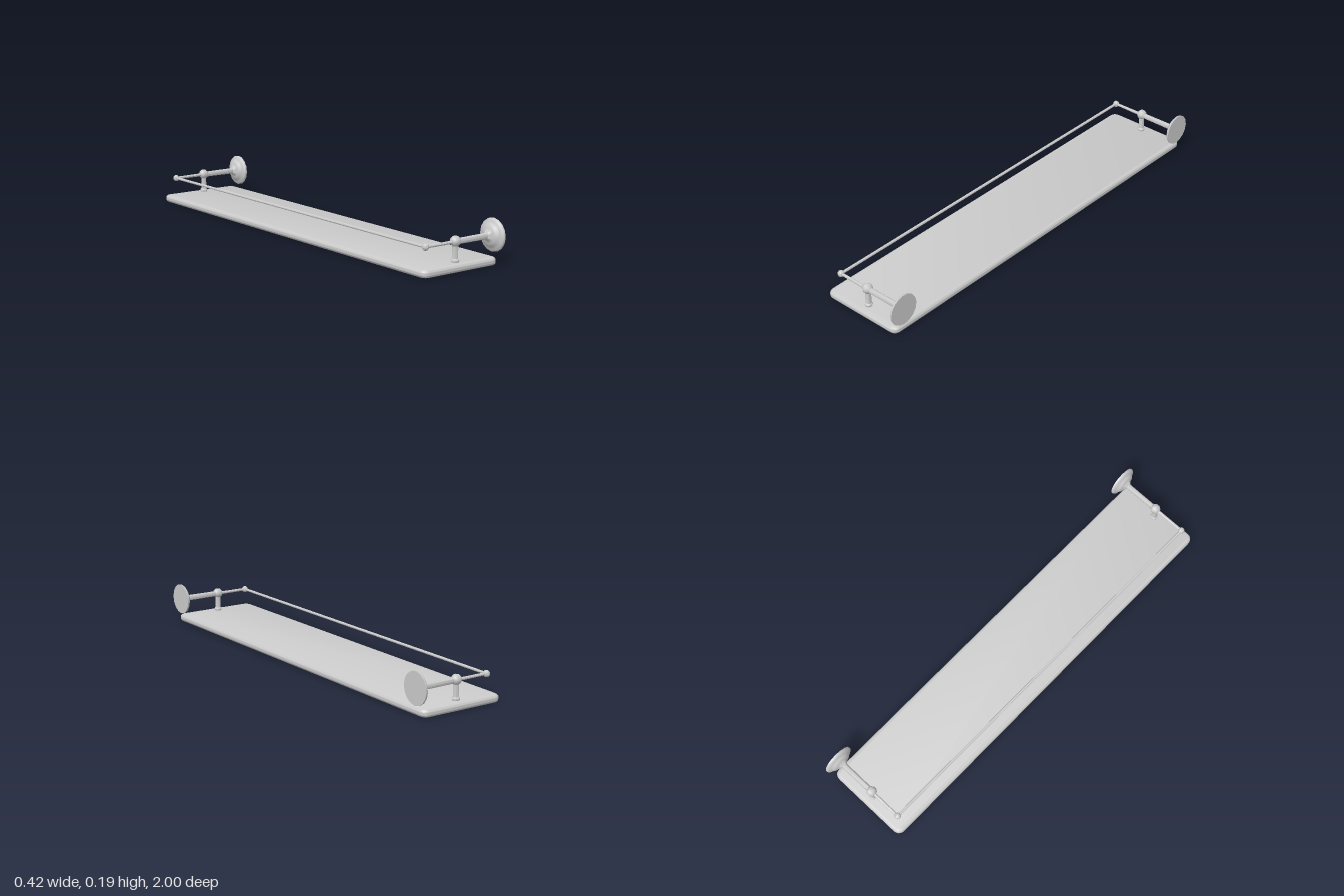
import * as THREE from 'three';
import { toCreasedNormals } from 'three/addons/utils/BufferGeometryUtils.js';

const material = new THREE.MeshStandardMaterial({ color: 0xcccccc });
const AXIS_Y = 0.118, MOUNT_Z = 0.93, RAIL_X = -0.165, POST_X = -0.005;

function part(name, geometry, x = 0, y = 0, z = 0) {
  const mesh = new THREE.Mesh(toCreasedNormals(geometry, 0.8), material);
  mesh.name = name;
  mesh.position.set(x, y, z);
  return mesh;
}

// Turned profile of [radius, height] pairs, listed bottom to top
function turned(profile, sides) {
  return new THREE.LatheGeometry(profile.map(([r, h]) => new THREE.Vector2(r, h)), sides);
}

// Turned profile lying along x
const turnedX = (profile, sides) => turned(profile, sides).rotateZ(-Math.PI / 2);

// Board with rounded corners and softened edges
function shelfGeometry() {
  const x0 = -0.21, x1 = 0.196, z1 = 0.977, height = 0.033, bevel = 0.013, r = 0.022;
  const a = x0 + bevel, b = x1 - bevel, c = z1 - bevel;
  const shape = new THREE.Shape();
  shape.moveTo(a + r, -c);
  shape.lineTo(b - r, -c);
  shape.quadraticCurveTo(b, -c, b, -c + r);
  shape.lineTo(b, c - r);
  shape.quadraticCurveTo(b, c, b - r, c);
  shape.lineTo(a + r, c);
  shape.quadraticCurveTo(a, c, a, c - r);
  shape.lineTo(a, -c + r);
  shape.quadraticCurveTo(a, -c, a + r, -c);
  const geometry = new THREE.ExtrudeGeometry(shape, {
    depth: height - 2 * bevel, bevelThickness: bevel, bevelSize: bevel,
    bevelSegments: 4, curveSegments: 5,
  });
  return geometry.rotateX(-Math.PI / 2).translate(0, bevel, 0);
}

// One wall bracket: plate, arm, post and joints
function bracket(name, z) {
  const group = new THREE.Group();
  group.name = name;
  group.position.set(0, AXIS_Y, z);

  // Stepped wall plate with a flat back
  group.add(part('wallPlate', turnedX([
    [0.013, 0.163], [0.019, 0.168], [0.024, 0.174], [0.034, 0.177], [0.045, 0.181],
    [0.051, 0.187], [0.055, 0.191], [0.064, 0.193], [0.070, 0.197], [0.072, 0.201],
    [0.072, 0.207], [0, 0.207],
  ], 16)));

  // Thick arm to the wall, thin arm to the rail
  group.add(part('arm', turnedX([[0.0125, POST_X], [0.0135, 0.17]], 10)));
  group.add(part('frontArm', turnedX([[0.0065, RAIL_X], [0.0075, POST_X]], 8)));

  // Post with a flared foot standing on the shelf
  group.add(part('post', turned([
    [0, -0.085], [0.016, -0.085], [0.018, -0.078], [0.0165, -0.073],
    [0.013, -0.070], [0.0125, 0],
  ], 10), POST_X));

  group.add(part('postJoint', new THREE.SphereGeometry(0.0235, 10, 6), POST_X, 0.002));
  group.add(part('railJoint', new THREE.SphereGeometry(0.0155, 8, 6), RAIL_X));
  return group;
}

export function createModel() {
  const model = new THREE.Group();
  model.name = 'wallShelf';
  model.add(part('shelf', shelfGeometry()));
  model.add(bracket('leftBracket', MOUNT_Z), bracket('rightBracket', -MOUNT_Z));

  // Guard rail joining the two brackets
  const rail = new THREE.CylinderGeometry(0.0065, 0.0065, 2 * MOUNT_Z, 8).rotateX(Math.PI / 2);
  model.add(part('guardRail', rail, RAIL_X, AXIS_Y));
  return model;
}
